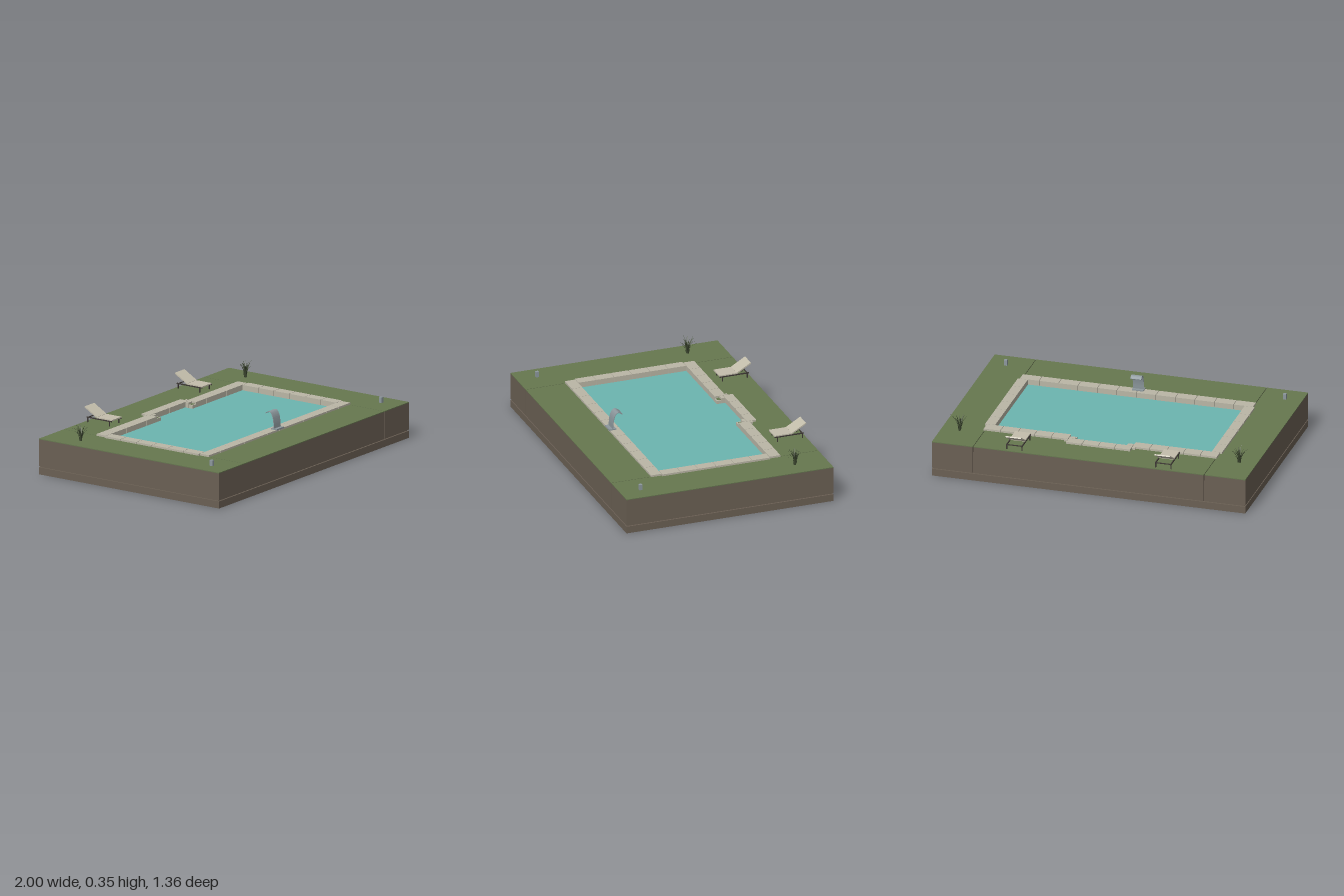
import * as THREE from 'three';
import { mergeGeometries } from 'three/addons/utils/BufferGeometryUtils.js';

const mat = (name, color, opts = {}) => {
  const m = new THREE.MeshStandardMaterial({ color, ...opts });
  m.name = name;
  return m;
};

export function createModel() {
  const soil = mat('soil', 0x6b6054);
  const grass = mat('grass', 0x66774f);
  const stone = mat('stone', 0xbab6a6);
  const water = mat('water', 0x6cb5b0);
  const cushion = mat('cushion', 0xc4beac);
  const frame = mat('darkFrame', 0x3f3a36);
  const steel = mat('steel', 0x8d989d);
  const leaf = mat('leaf', 0x3d4830, { side: THREE.DoubleSide });

  const root = new THREE.Group();
  root.name = 'gardenPool';
  const add = (name, geo, m, parent = root) => {
    const mesh = new THREE.Mesh(geo, m);
    mesh.name = name;
    parent.add(mesh);
    return mesh;
  };
  // Box given by its limits on each axis
  const block = (x0, x1, y0, y1, z0, z1) =>
    new THREE.BoxGeometry(x1 - x0, y1 - y0, z1 - z0)
      .translate((x0 + x1) / 2, (y0 + y1) / 2, (z0 + z1) / 2);

  const W = 1, D = 0.677, GROUND = 0.227, SEAM = 0.737;

  // Plinth and a recessed core behind the seams
  add('plinth', block(-W, W, 0, 0.045, -D, D), soil);
  add('core', block(-0.99, 0.99, 0.04, 0.185, -D + 0.01, D - 0.01), soil);

  // Pool outline, optionally grown by g; shape y is -z
  const poolPoints = (g) => [
    [-0.69 - g, -0.35 - g], [0.69 + g, -0.35 - g], [0.69 + g, 0.355 + g], [0.165 + g, 0.355 + g],
    [0.165 + g, 0.41 + g], [-0.165 - g, 0.41 + g], [-0.165 - g, 0.355 + g], [-0.69 - g, 0.355 + g],
  ].map(([x, y]) => new THREE.Vector2(x, y));
  const slab = (shape, y0, y1) =>
    new THREE.ExtrudeGeometry(shape, { depth: y1 - y0, bevelEnabled: false })
      .rotateX(-Math.PI / 2).translate(0, y0, 0);
  const rect = (x0, x1) => new THREE.Shape([[x0, -D], [x1, -D], [x1, D], [x0, D]]
    .map(([x, y]) => new THREE.Vector2(x, y)));

  // Three ground sections, each with a turf layer
  const middle = rect(-SEAM + 0.002, SEAM - 0.002);
  middle.holes.push(new THREE.Path(poolPoints(0.01).reverse()));
  const sections = { left: rect(SEAM + 0.002, W), middle, right: rect(-W, -SEAM - 0.002) };
  for (const [name, shape] of Object.entries(sections)) {
    add(name + 'Ground', slab(shape, 0.052, 0.222), soil);
    add(name + 'Turf', slab(shape, 0.222, GROUND), grass);
  }
  add('water', slab(new THREE.Shape(poolPoints(0.012)), 0.186, 0.205), water);

  // Coping stones, laid in rows with narrow joints
  const stones = [];
  const TOP = 0.239, LOW = 0.195, J = 0.0015;
  const lay = (x0, x1, z0, z1, nx, nz, top = TOP) => {
    const dx = (x1 - x0) / nx, dz = (z1 - z0) / nz;
    for (let i = 0; i < nx; i++) for (let k = 0; k < nz; k++) {
      stones.push(block(x0 + i * dx + J, x0 + (i + 1) * dx - J, LOW, top,
        z0 + k * dz + J, z0 + (k + 1) * dz - J));
    }
  };
  lay(-0.745, 0.745, 0.35, 0.42, 12, 1);
  lay(-0.205, 0.205, -0.475, -0.41, 4, 1);
  for (const s of [-1, 1]) {
    const span = (a, b, ...rest) => lay(Math.min(s * a, s * b), Math.max(s * a, s * b), ...rest);
    span(0.69, 0.757, -0.355, 0.35, 1, 6);
    span(0.205, 0.745, -0.428, -0.355, 5, 1);
    span(0.165, 0.205, -0.41, -0.385, 1, 1);
    span(0.165, 0.205, -0.385, -0.355, 1, 1, 0.226);
    span(0.205, 0.228, -0.445, -0.428, 1, 1);
  }
  add('coping', mergeGeometries(stones), stone);

  // Curved waterfall spout: a thin sheet following an arc in z, y
  const arc = new THREE.CatmullRomCurve3([
    [0.402, 0.244], [0.399, 0.285], [0.39, 0.325], [0.375, 0.347], [0.36, 0.35], [0.335, 0.336],
  ].map(([z, y]) => new THREE.Vector3(z, y, 0)));
  const outer = arc.getPoints(20).map((p) => new THREE.Vector2(p.x, p.y));
  const inner = arc.getPoints(20).map((p, i) => {
    const t = arc.getTangent(i / 20);
    return new THREE.Vector2(p.x - t.y * 0.004, p.y + t.x * 0.004);
  });
  const spout = new THREE.Group();
  spout.name = 'waterfallSpout';
  root.add(spout);
  add('spoutSheet', new THREE.ExtrudeGeometry(new THREE.Shape([...outer, ...inner.reverse()]),
    { depth: 0.07, bevelEnabled: false }).rotateY(-Math.PI / 2).translate(0.035, 0, 0), steel, spout);
  add('spoutBase', block(-0.037, 0.037, 0.237, 0.246, 0.378, 0.424), steel, spout);

  // Sun loungers
  for (const [name, x] of [['leftLounger', 0.48], ['rightLounger', -0.47]]) {
    const g = new THREE.Group();
    g.name = name;
    g.position.x = x;
    root.add(g);
    add('seat', block(-0.049, 0.049, 0.261, 0.269, -0.588, -0.47), cushion, g);
    const back = add('backrest', new THREE.BoxGeometry(0.098, 0.008, 0.107), cushion, g);
    back.position.set(0, 0.294, -0.631);
    back.rotation.x = 0.53;
    const bars = [];
    for (const s of [-1, 1]) {
      const c = s * 0.049;
      bars.push(block(c - 0.003, c + 0.003, 0.255, 0.262, -0.662, -0.472));
      for (const z of [-0.49, -0.653]) {
        bars.push(block(c - 0.003, c + 0.003, GROUND, 0.256, z - 0.003, z + 0.003));
      }
    }
    for (const z of [-0.49, -0.653]) bars.push(block(-0.049, 0.049, 0.255, 0.26, z - 0.003, z + 0.003));
    add('loungerFrame', mergeGeometries(bars), frame, g);
  }

  // Garden lights
  for (const s of [-1, 1]) {
    const c = s * 0.89;
    add('gardenLight', block(c - 0.01, c + 0.01, GROUND, 0.262, 0.535, 0.555), steel);
  }

  // Grass tufts of tapered, outward-bending blades
  let seed = 7;
  const rnd = () => (seed = (seed * 16807) % 2147483647) / 2147483647;
  const tuft = (name, x, z) => {
    const blades = [];
    for (let i = 0; i < 30; i++) {
      const h = 0.07 + rnd() * 0.05, spread = 0.012 + rnd() * 0.045, foot = rnd() * 0.01;
      const blade = new THREE.PlaneGeometry(1, 1, 1, 5);
      const p = blade.attributes.position;
      for (let k = 0; k < p.count; k++) {
        const t = p.getY(k) + 0.5;
        p.setXYZ(k, p.getX(k) * 0.006 * (1 - 0.9 * t * t),
          h * (t - 0.15 * t ** 4), foot + spread * t * t);
      }
      blade.computeVertexNormals();
      blades.push(blade.rotateY(i * 2.4 + rnd() * 0.5));
    }
    add(name, mergeGeometries(blades), leaf).position.set(x, GROUND, z);
  };
  tuft('leftTuft', 0.882, -0.47);
  tuft('rightTuft', -0.892, -0.44);

  return root;
}
